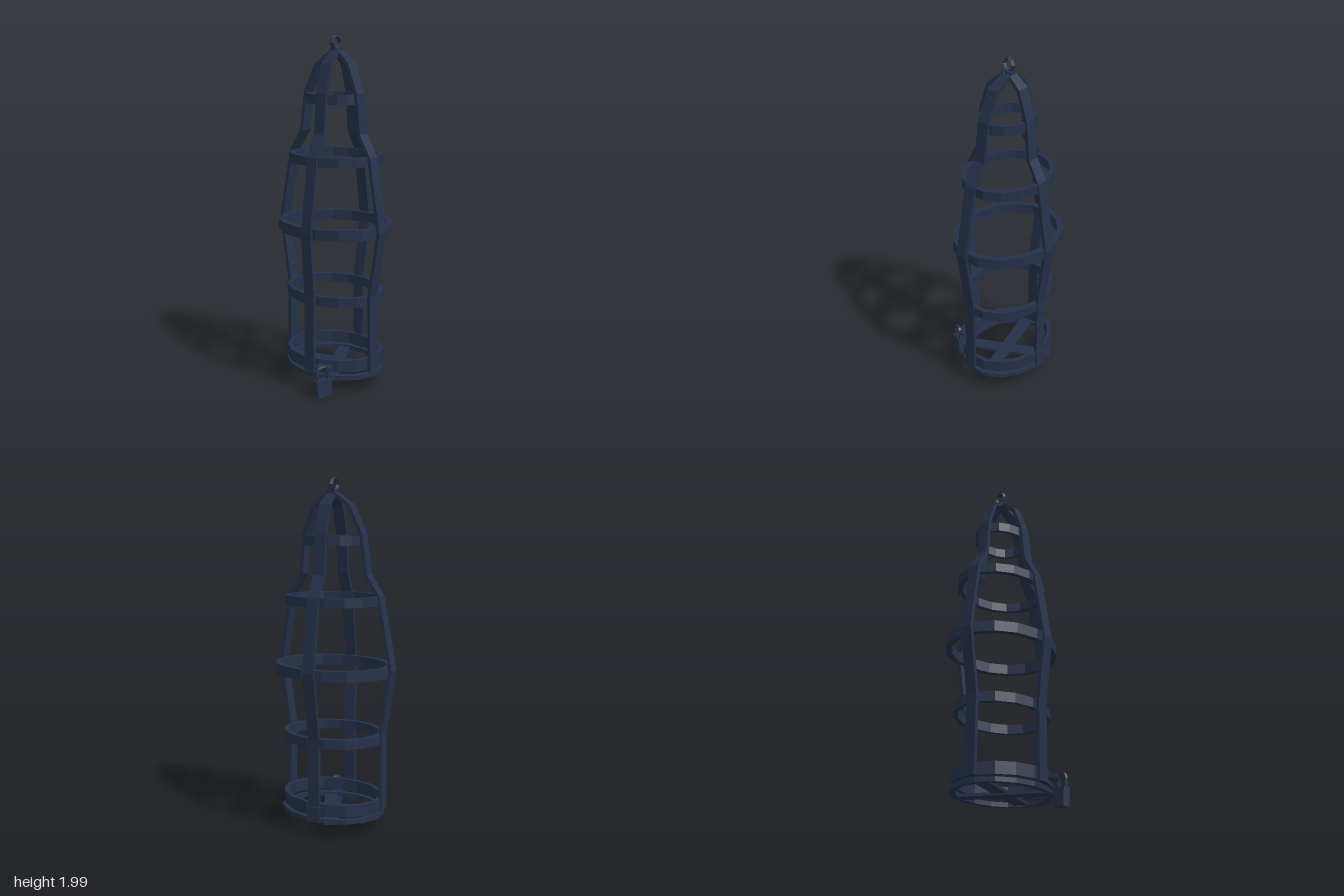
import * as THREE from 'three';

// Skin a closed or open run of four-cornered sections with flat faces
function loft(sections, closed) {
  const tris = [];
  const quad = (a, b, c, d) => tris.push([a, b, c], [a, c, d]);
  const n = sections.length;
  for (let i = 0; i < (closed ? n : n - 1); i++) {
    const s = sections[i], t = sections[(i + 1) % n];
    for (let k = 0; k < 4; k++) quad(s[k], s[(k + 1) % 4], t[(k + 1) % 4], t[k]);
  }
  if (!closed) {
    const e = sections[n - 1];
    quad(...[...sections[0]].reverse());
    quad(...e);
  }
  // turn the faces outward whichever way the sections were wound
  let volume = 0;
  for (const [a, b, c] of tris) volume += a.dot(b.clone().cross(c));
  if (volume < 0) tris.forEach(t => t.reverse());
  const geo = new THREE.BufferGeometry().setFromPoints(tris.flat());
  geo.computeVertexNormals();
  return geo;
}

// Elliptical hoop of rectangular section
function hoop(rx, rz, height, thick, sides = 16) {
  const sections = [];
  for (let i = 0; i < sides; i++) {
    const a = (i + 0.35) / sides * Math.PI * 2;
    const p = (d, y) => new THREE.Vector3(Math.cos(a) * (rx - d), y, Math.sin(a) * (rz - d));
    const h = height / 2;
    sections.push([p(0, -h), p(0, h), p(thick, h), p(thick, -h)]);
  }
  return loft(sections, true);
}

// Flat upright strap: profile holds [distance out, height, sideways drift]
function strap(profile, dir, side, width = 0.068, thick = 0.02) {
  const sections = profile.map(([r, y, drift], i) => {
    const a = profile[Math.max(i - 1, 0)], b = profile[Math.min(i + 1, profile.length - 1)];
    const len = Math.hypot(b[0] - a[0], b[1] - a[1]);
    const nr = (b[1] - a[1]) / len, ny = -(b[0] - a[0]) / len;
    const w = i === profile.length - 1 ? width * 0.75 : width;
    const p = (d, s) => new THREE.Vector3(0, y - ny * d, 0)
      .addScaledVector(dir, r - nr * d).addScaledVector(side, drift + s * w / 2);
    return [p(0, -1), p(0, 1), p(thick, 1), p(thick, -1)];
  });
  return loft(sections, false);
}

export function createModel() {
  const model = new THREE.Group();
  model.name = 'hangingCage';
  const iron = new THREE.MeshStandardMaterial({ color: 0x253049 });
  iron.name = 'darkBlueIron';
  const add = (name, geo, x = 0, y = 0, z = 0, parent = model) => {
    const flat = geo.index ? geo.toNonIndexed() : geo;
    flat.computeVertexNormals();
    const mesh = new THREE.Mesh(flat, iron);
    mesh.name = name;
    mesh.position.set(x, y, z);
    parent.add(mesh);
    return mesh;
  };

  // Hoops: height, radii, centre z, band height, thickness, tilt
  [
    ['topHoop', 1.655, 0.175, 0.148, -0.018, 0.055, 0.02, 0],
    ['shoulderHoop', 1.325, 0.283, 0.238, -0.02, 0.052, 0.03, 0],
    ['middleHoop', 0.935, 0.348, 0.294, -0.02, 0.06, 0.035, 0.008],
    ['lowerHoop', 0.547, 0.3, 0.248, -0.018, 0.055, 0.028, -0.008],
    ['bottomHoop', 0.17, 0.302, 0.25, -0.016, 0.068, 0.025, 0.018],
    ['floorHoop', 0.106, 0.305, 0.253, -0.016, 0.026, 0.03, 0],
  ].forEach(([name, y, rx, rz, z, h, t, tilt]) => {
    add(name, hoop(rx, rz, h, t), 0, y, z).rotation.z = tilt;
  });

  // Four upright straps that meet under the hanging ring
  const heights = [0.13, 0.57, 0.94, 1.35, 1.47, 1.69, 1.85, 1.925];
  const X = new THREE.Vector3(1, 0, 0), Z = new THREE.Vector3(0, 0, 1);
  [
    ['leftStrap', X, Z, [0.31, 0.303, 0.36, 0.285, 0.212, 0.186, 0.118, 0.015],
      [0.015, 0.015, 0.012, 0.004, 0, -0.006, -0.015, -0.028]],
    ['rightStrap', X.clone().negate(), Z, [0.31, 0.303, 0.36, 0.287, 0.212, 0.186, 0.115, 0.015],
      [0.02, 0.022, 0.024, 0.014, 0.008, 0, -0.013, -0.028]],
    ['frontStrap', Z, X, [0.245, 0.245, 0.284, 0.222, 0.16, 0.138, 0.085, -0.01],
      [0.02, 0.025, 0.035, 0.032, 0.028, 0.024, 0.018, 0.008]],
    ['backStrap', Z.clone().negate(), X, [0.268, 0.268, 0.32, 0.258, 0.193, 0.172, 0.122, 0.035],
      [-0.01, -0.008, -0.005, -0.004, -0.003, -0.002, 0, 0.002]],
  ].forEach(([name, dir, side, radii, drift]) => {
    add(name, strap(heights.map((y, i) => [radii[i], y, drift[i]]), dir, side), 0, 0, 0);
  });

  // Crown and hanging ring
  add('crown', new THREE.BoxGeometry(0.05, 0.025, 0.055), 0, 1.915, -0.025);
  const ring = add('hangingRing', new THREE.TorusGeometry(0.032, 0.009, 4, 8), -0.004, 1.959, -0.022);
  ring.scale.z = 1.6;
  ring.rotation.y = Math.PI / 2 - 0.1;

  // Crossed floor plates
  [[0.55, 0.25, 0.475], [0.57, 0.42, 0.265]].forEach(([, ,], i) => {
    const length = i ? 0.57 : 0.54;
    const dx = i ? 0.48 : 0.23, dz = i ? -0.13 : 0.425;
    const plate = add('floorPlate', new THREE.BoxGeometry(length, 0.016, 0.075), 0.015, 0.1 + i * 0.008, -0.022);
    plate.rotation.y = -Math.atan2(dz, dx);
  });

  // Hinge at the back of the floor
  add('hinge', new THREE.BoxGeometry(0.08, 0.09, 0.016), -0.01, 0.14, -0.266);

  // Hasp and padlock
  const hasp = add('hasp', new THREE.BoxGeometry(0.085, 0.022, 0.05), 0.125, 0.172, 0.235);
  hasp.rotation.y = 0.35;
  const lock = new THREE.Group();
  lock.name = 'padlock';
  lock.position.set(0.145, 0.068, 0.266);
  lock.rotation.set(0.1, -0.38, 0, 'YXZ');
  model.add(lock);
  add('lockBody', new THREE.BoxGeometry(0.038, 0.1, 0.092), 0, 0, 0, lock);
  const path = new THREE.CurvePath();
  const pts = [[0.045, -0.032], [0.1, -0.032], [0.122, -0.016], [0.122, 0.016], [0.1, 0.032], [0.045, 0.032]]
    .map(([y, z]) => new THREE.Vector3(0, y, z));
  for (let i = 0; i < pts.length - 1; i++) path.add(new THREE.LineCurve3(pts[i], pts[i + 1]));
  add('shackle', new THREE.TubeGeometry(path, 20, 0.011, 5), 0, 0, 0, lock);

  return model;
}
